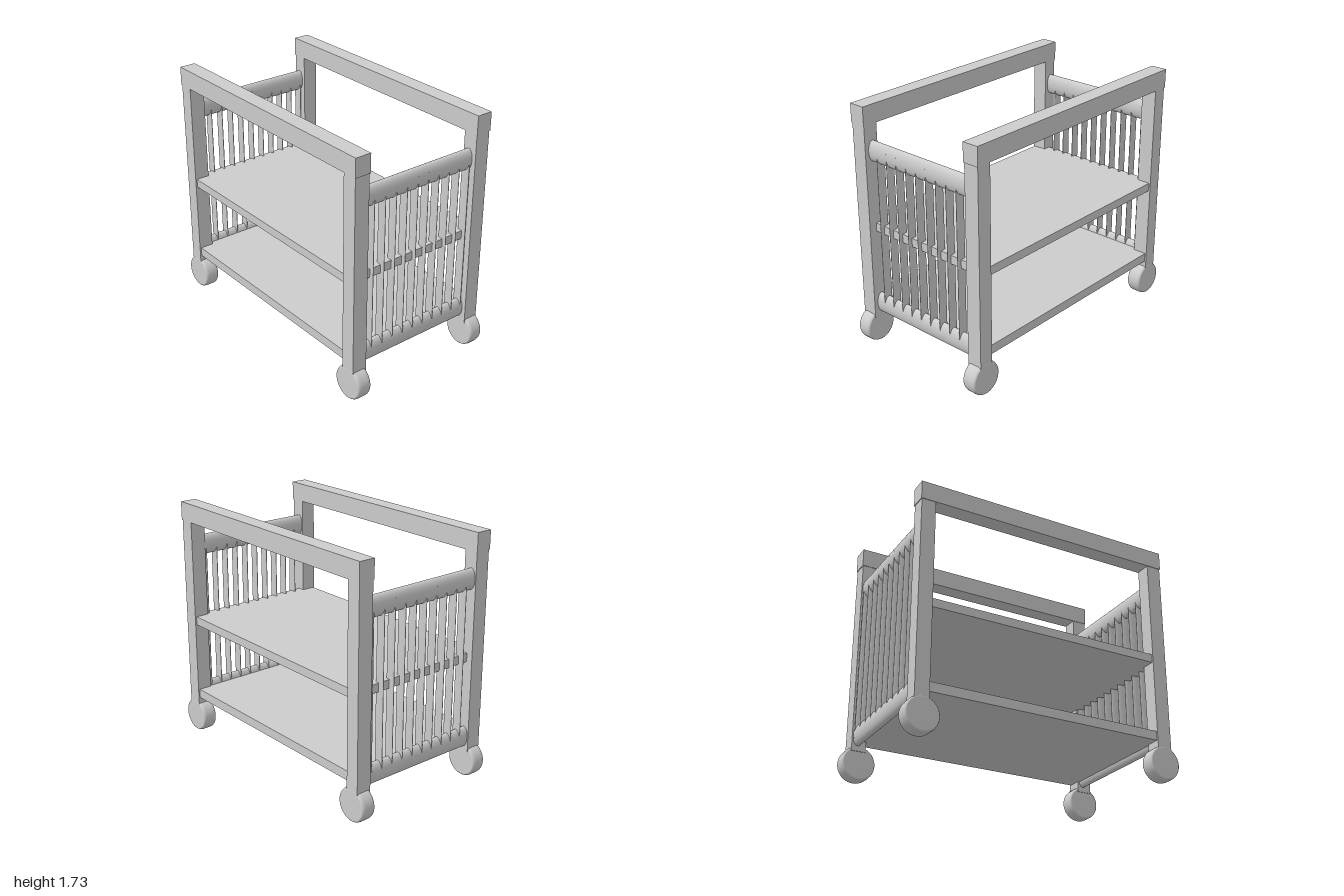
import * as THREE from 'three';

const material = new THREE.MeshStandardMaterial({ color: 0xcccccc });

export function createModel() {
  const model = new THREE.Group();

  const add = (name, geometry, x = 0, y = 0, z = 0) => {
    const mesh = new THREE.Mesh(geometry, material);
    mesh.name = name;
    mesh.position.set(x, y, z);
    model.add(mesh);
    return mesh;
  };
  // Box given by its extents on each axis
  const box = (name, x0, x1, y0, y1, z0, z1) =>
    add(name, new THREE.BoxGeometry(x1 - x0, y1 - y0, z1 - z0),
      (x0 + x1) / 2, (y0 + y1) / 2, (z0 + z1) / 2);

  // Wheel profile: flat faces with a rounded rim
  const R = 0.118, H = 0.052, bevelR = 0.014, bevelH = 0.026;
  const rim = [];
  for (let i = 0; i <= 6; i++) {
    const a = (i / 6) * Math.PI / 2;
    rim.push(new THREE.Vector2(R - bevelR + bevelR * Math.sin(a), H - bevelH + bevelH * Math.cos(a)));
  }
  const lower = rim.map(p => new THREE.Vector2(p.x, -p.y));
  const profile = [new THREE.Vector2(0, -H), ...lower, ...rim.reverse(), new THREE.Vector2(0, H)];
  const wheelGeometry = new THREE.LatheGeometry(profile, 40).rotateX(Math.PI / 2);

  // Side frames: two posts, a top rail and two wheels each
  for (const s of [1, -1]) {
    const side = s > 0 ? 'front' : 'back';
    const z0 = s * 0.492 - 0.054, z1 = s * 0.492 + 0.054;
    box(side + 'RightPost', -0.94, -0.84, 0.2, 1.61, z0, z1);
    box(side + 'LeftPost', 0.83, 0.935, 0.2, 1.61, z0, z1);
    box(side + 'TopRail', -0.945, 0.94, 1.6, 1.73, z0 - 0.004, z1 + 0.004);
    for (const x of [-0.88, 0.88]) {
      add(side + (x > 0 ? 'Left' : 'Right') + 'Wheel', wheelGeometry, x, 0.123, s * 0.495);
    }
  }

  // Shelves, reaching in between the end slats
  box('lowerShelf', -0.895, 0.88, 0.275, 0.34, -0.535, 0.535);
  box('upperShelf', -0.895, 0.88, 0.845, 0.905, -0.535, 0.535);

  // End panels: oval bars joined by thin oval slats
  const barGeometry = new THREE.CylinderGeometry(1, 1, 0.9, 32)
    .rotateX(Math.PI / 2).scale(0.035, 0.072, 1);
  const slatGeometry = new THREE.CylinderGeometry(1, 1, 1.16, 20).scale(0.034, 1, 0.0075);
  for (const x of [-0.898, 0.872]) {
    const side = x > 0 ? 'left' : 'right';
    add(side + 'LowerBar', barGeometry, x, 0.308, 0);
    add(side + 'UpperBar', barGeometry, x, 1.417, 0);
    for (let i = 0; i < 10; i++) {
      add(side + 'Slat', slatGeometry, x, 0.863, 0.367 - i * 0.0875);
    }
  }

  return model;
}
